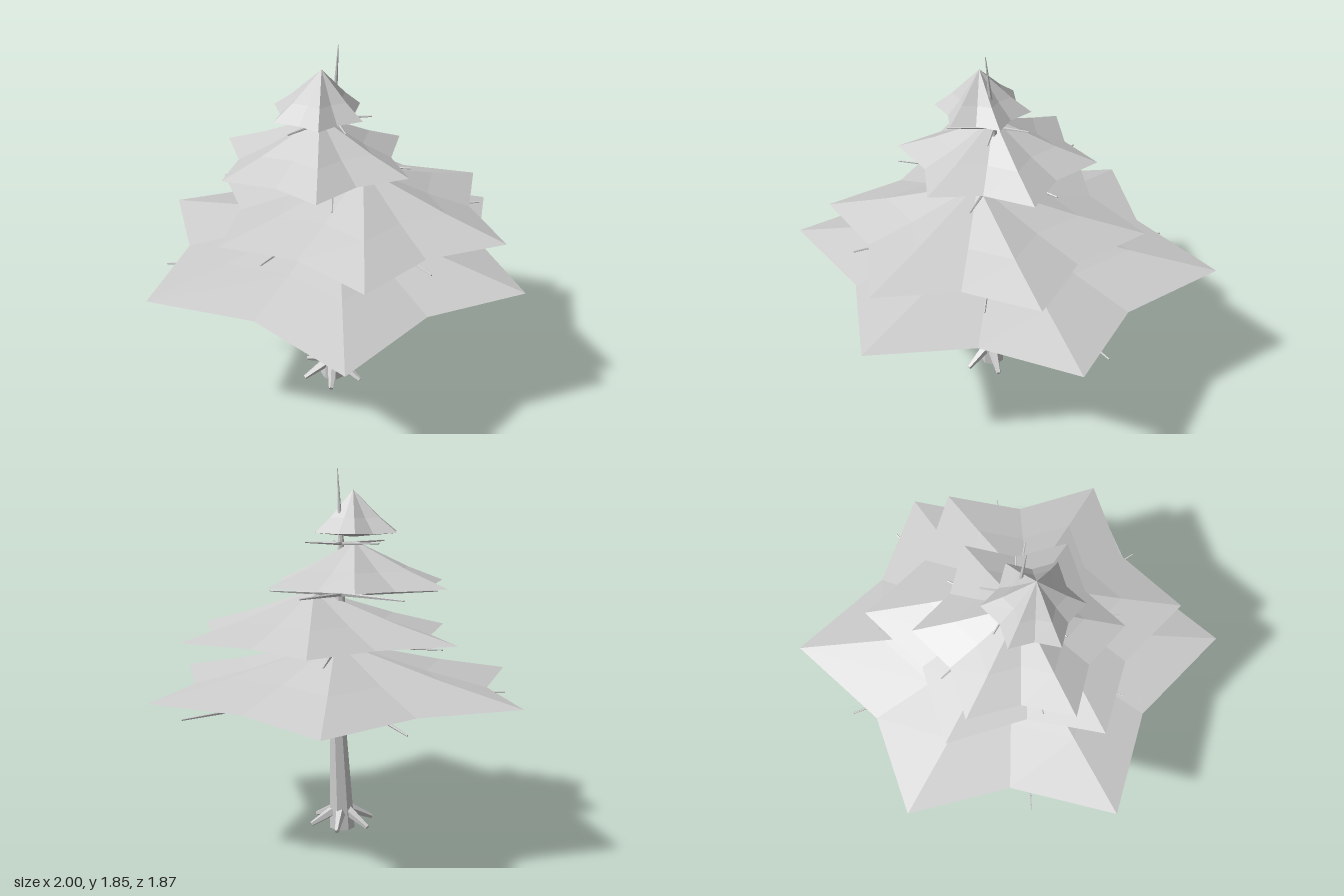
import * as THREE from 'three';

const bark = new THREE.MeshStandardMaterial({ color: 0xcccccc, flatShading: true });
bark.name = 'pale grey';

function meshFromTriangles(name, tris) {
  const g = new THREE.BufferGeometry();
  g.setAttribute('position', new THREE.Float32BufferAttribute(tris.flat(2), 3));
  g.computeVertexNormals();
  const m = new THREE.Mesh(g, bark);
  m.name = name;
  return m;
}

// Straight tapered limb between two points
function limb(name, from, to, r0, r1) {
  const a = new THREE.Vector3(...from), b = new THREE.Vector3(...to);
  const dir = b.clone().sub(a);
  const m = new THREE.Mesh(new THREE.CylinderGeometry(r1, r0, dir.length(), 5), bark);
  m.name = name;
  m.position.copy(a).add(b).multiplyScalar(0.5);
  m.quaternion.setFromUnitVectors(new THREE.Vector3(0, 1, 0), dir.normalize());
  return m;
}

// Six-pointed canopy: slightly concave top, shallow underside cone.
// Tips start at the left side (-x) and go round by the back.
function canopy(apex, [cx, cz], rimY, depth, tips) {
  const rim = Array.from({ length: 12 }, (_, i) => {
    const k = Math.floor(i / 2);
    const tip = tips[k % tips.length], next = tips[(k + 1) % tips.length];
    const r = i % 2 ? 0.37 * (tip + next) : tip;
    const a = Math.PI + (i * Math.PI) / 6;
    return [cx + r * Math.cos(a), i % 2 ? rimY - 0.006 : rimY, cz + r * Math.sin(a)];
  });
  const mid = rim.map(p => p.map((v, k) => apex[k] + (v - apex[k]) * 0.6 - (k === 1 ? 0.01 : 0)));
  const low = [apex[0], rimY - depth, apex[2]];
  const tris = [];
  rim.forEach((p, i) => {
    const j = (i + 1) % rim.length;
    tris.push([apex, mid[j], mid[i]], [mid[i], mid[j], rim[j]], [mid[i], rim[j], p], [low, p, rim[j]]);
  });
  return meshFromTriangles('canopy', tris);
}

// Whorl of thin branches; directions in degrees from +x towards +z
function whorl(hub, thick, degrees, lengths) {
  const group = new THREE.Group();
  group.name = 'branches';
  degrees.forEach((deg, i) => {
    const a = THREE.MathUtils.degToRad(deg);
    const tip = [hub[0] + lengths[i] * Math.cos(a), hub[1] + 0.006, hub[2] + lengths[i] * Math.sin(a)];
    group.add(limb('branch', hub, tip, thick, 0.004));
  });
  return group;
}

// Leaning trunk through rings of [x, y, z, radius]
function trunk(rings, sides) {
  const pts = rings.map(([x, y, z, r]) => Array.from({ length: sides }, (_, i) => {
    const a = (i / sides) * Math.PI * 2;
    return [x + r * Math.cos(a), y, z + r * Math.sin(a)];
  }));
  const tris = [];
  const last = rings.length - 1;
  for (let i = 0; i < sides; i++) {
    const j = (i + 1) % sides;
    for (let k = 0; k < last; k++) {
      tris.push([pts[k][i], pts[k + 1][i], pts[k + 1][j]], [pts[k][i], pts[k + 1][j], pts[k][j]]);
    }
    tris.push([rings[0].slice(0, 3), pts[0][i], pts[0][j]]);
    tris.push([rings[last].slice(0, 3), pts[last][j], pts[last][i]]);
  }
  return meshFromTriangles('trunk', tris);
}

export function createModel() {
  const tree = new THREE.Group();
  tree.name = 'tree';

  tree.add(trunk([
    [0.015, 0, 0.07, 0.066], [0.045, 0.72, 0.06, 0.036], [0.01, 1.1, 0.04, 0.027],
    [0.012, 1.5, 0.052, 0.015], [0.045, 1.85, 0.07, 0.002],
  ], 7));

  // Flared roots around the foot
  for (let i = 0; i < 6; i++) {
    const a = (i / 6) * Math.PI * 2 + 0.1;
    const at = (r, y) => [0.02 + r * Math.cos(a), y, 0.075 + r * Math.sin(a)];
    tree.add(limb('root', at(0.03, 0.1), at(0.17, 0.032), 0.03, 0.012));
  }

  // Canopies, widest at the bottom
  tree.add(
    canopy([0.02, 1.0, 0.02], [0, 0], 0.78, 0.03, [1, 1.07, 0.97, 1, 1.09, 1.03]),
    canopy([0.16, 1.25, 0.03], [0.12, 0.03], 1.03, 0.025, [0.775, 0.785, 0.74]),
    canopy([-0.04, 1.5, 0.095], [-0.065, 0.1], 1.285, 0.02, [0.495]),
    canopy([0, 1.75, 0.145], [-0.022, 0.147], 1.54, 0.025, [0.233]),
  );

  // Branches below each canopy
  tree.add(
    whorl([0.04, 0.725, 0.06], 0.02, [72, 148, 218, 285, 357], [0.81, 0.86, 0.93, 0.93, 0.85]),
    whorl([0.02, 0.98, 0.04], 0.017, [27, 95, 170, 242, 324], [0.73, 0.62, 0.55, 0.68, 0.73]),
    whorl([0, 1.235, 0.04], 0.013, [62, 136, 198, 270, 340], [0.5, 0.5, 0.46, 0.36, 0.375]),
    whorl([0.01, 1.485, 0.05], 0.009, [47, 105, 180, 250, 330], [0.22, 0.3, 0.22, 0.17, 0.18]),
  );
  return tree;
}
